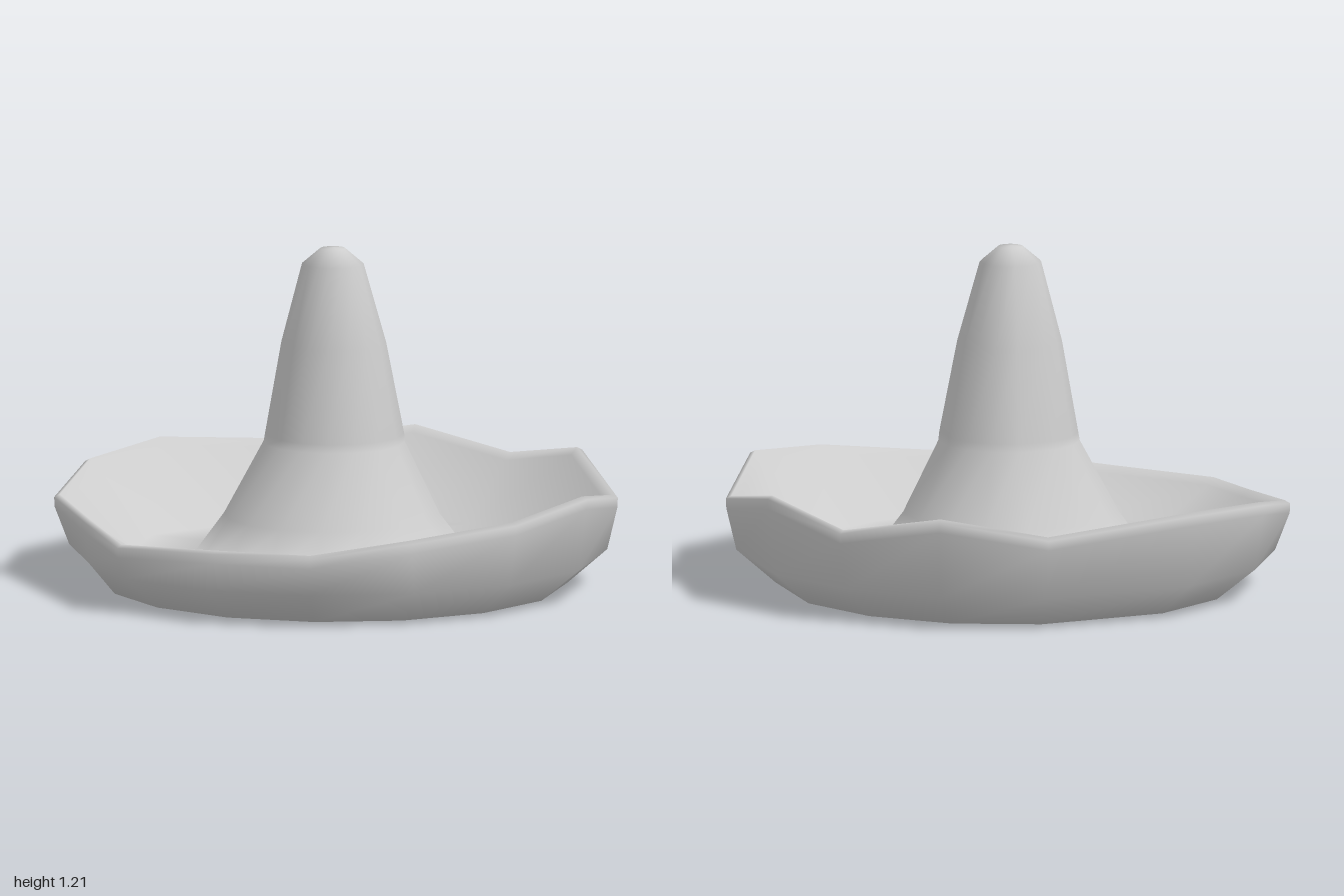
import * as THREE from 'three';

// Columns walked from the back round the left side:
// rim x, rim z, rim height, outer wall radius, inner floor radius
const COLUMNS = [
  [0, -1, 0.33, 0.97, 0.76], [0.38, -0.92, 0.4, 0.965, 0.69], [0.78, -0.63, 0.31, 0.965, 0.76],
  [0.99, -0.2, 0.385, 0.975, 0.73], [0.99, 0.2, 0.345, 0.975, 0.72], [0.78, 0.53, 0.3, 0.97, 0.72],
  [0.56, 0.84, 0.262, 0.965, 0.74], [0.18, 0.915, 0.25, 0.975, 0.74], [-0.2, 0.99, 0.24, 0.975, 0.74],
  [-0.52, 0.775, 0.265, 0.925, 0.72], [-0.84, 0.56, 0.295, 0.955, 0.72], [-0.99, 0.2, 0.36, 0.975, 0.74],
  [-0.99, -0.2, 0.385, 0.975, 0.67], [-0.71, -0.71, 0.34, 0.965, 0.75], [-0.38, -0.92, 0.4, 0.965, 0.74],
];
const N = COLUMNS.length;

export function createModel() {
  const felt = new THREE.MeshStandardMaterial({ color: 0xcccccc });
  const angles = COLUMNS.map(([x, z]) => Math.atan2(z, x));

  // Round rings: radius, height, shift along z
  const circle = (r, y, dz = 0) =>
    angles.map((a) => [r * Math.cos(a), y, r * Math.sin(a) + dz]);
  // Uneven rings with a radius for each column
  const uneven = (field, y) =>
    angles.map((a, j) => [COLUMNS[j][field] * Math.cos(a), y, COLUMNS[j][field] * Math.sin(a)]);
  // Rings that follow the rim
  const rimRing = (scale, lift) =>
    COLUMNS.map(([x, z, h]) => [x * scale, h + lift, z * scale]);

  const brimRings = [
    circle(0, 0),
    circle(0.825, 0),
    uneven(3, 0.12),
    rimRing(0.998, -0.04),
    rimRing(1, -0.005),
    rimRing(0.98, 0.006),
    rimRing(0.955, -0.02),
    uneven(4, 0.11),
    circle(0.49, 0.11, 0.02),
  ];
  const crownRings = [
    circle(0.385, 0.25, 0.025),
    circle(0.252, 0.51, 0.012),
    circle(0.248, 0.54, 0.01),
    circle(0.187, 0.87, 0.015),
    circle(0.11, 1.155, 0.02),
    circle(0.045, 1.21, 0.02),
    circle(0, 1.213, 0.02),
  ];
  const rings = [...brimRings, ...crownRings];

  // Faces joining rings from..to, one triangle per column at the two tips
  const strip = (from, to) => {
    const index = [];
    for (let i = from; i < to; i++) {
      for (let j = 0; j < N; j++) {
        const k = (j + 1) % N;
        const a = i * N + j, b = a + N, c = i * N + k, d = c + N;
        if (i > 0) index.push(a, b, c);
        if (i < rings.length - 2) index.push(b, d, c);
      }
    }
    return index;
  };

  // Smooth normals are worked out over the whole hat, then shared by both parts
  const whole = new THREE.BufferGeometry();
  whole.setAttribute('position', new THREE.Float32BufferAttribute(rings.flat(2), 3));
  whole.setIndex(strip(0, rings.length - 1));
  whole.computeVertexNormals();

  const group = new THREE.Group();
  group.name = 'hat';
  const addPart = (name, from, to) => {
    const geometry = whole.clone();
    geometry.setIndex(strip(from, to));
    const mesh = new THREE.Mesh(geometry, felt);
    mesh.name = name;
    group.add(mesh);
  };
  addPart('brim', 0, brimRings.length - 1);
  addPart('crown', brimRings.length - 1, rings.length - 1);
  return group;
}
